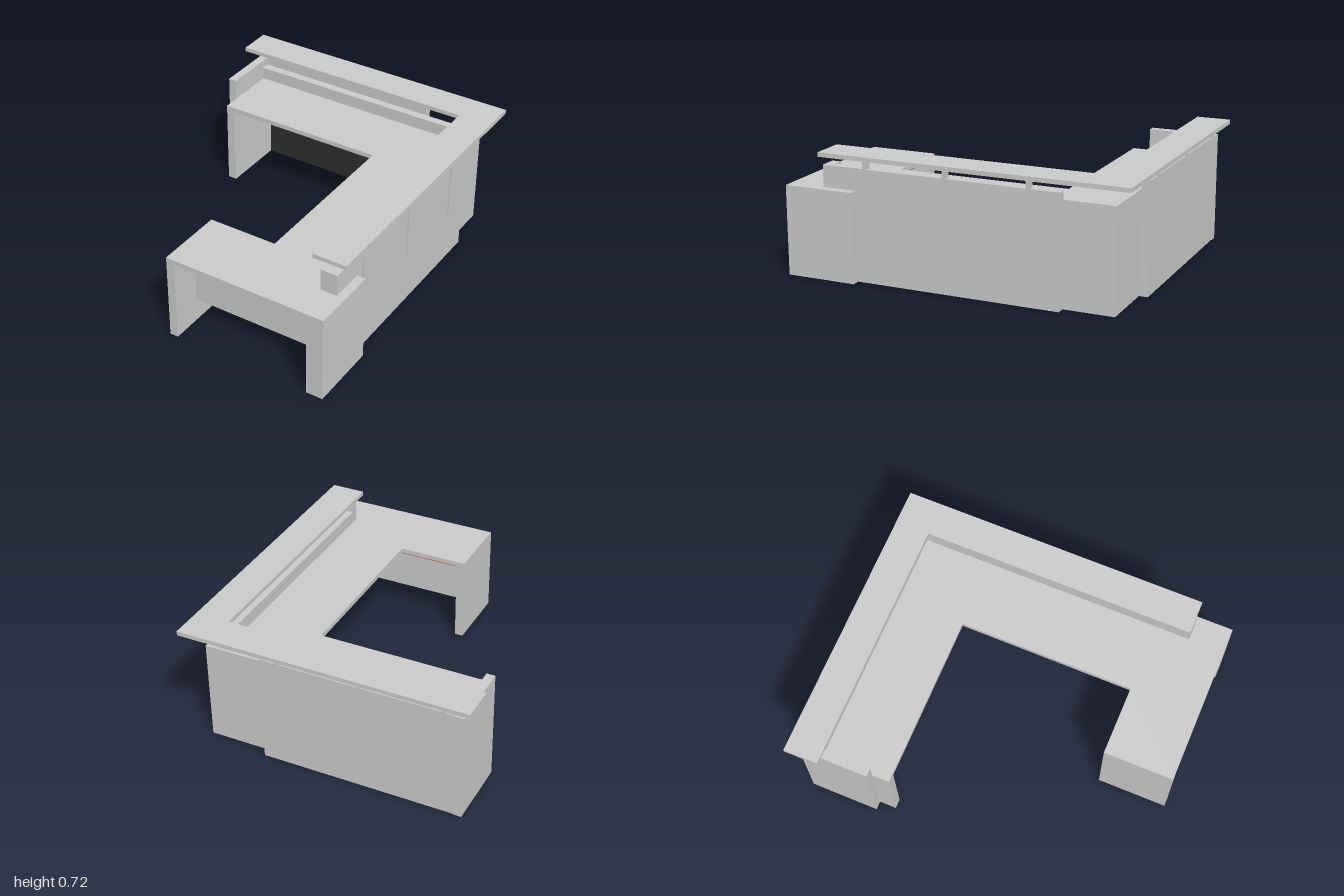
import * as THREE from 'three';

const grey = new THREE.MeshStandardMaterial({ color: 0xcccccc });
const dark = new THREE.MeshStandardMaterial({ color: 0x2e2e2e });
const cream = new THREE.MeshStandardMaterial({ color: 0xd8d8a4 });
const brown = new THREE.MeshStandardMaterial({ color: 0x8a4a20 });

export function createModel() {
  const model = new THREE.Group();
  model.name = 'receptionDesk';

  // Box given by its minimum and maximum on each axis
  const box = (name, [x0, x1], [y0, y1], [z0, z1], material = grey) => {
    const mesh = new THREE.Mesh(new THREE.BoxGeometry(x1 - x0, y1 - y0, z1 - z0), material);
    mesh.position.set((x0 + x1) / 2, (y0 + y1) / 2, (z0 + z1) / 2);
    mesh.name = name;
    model.add(mesh);
  };

  // Flat slab cut from a plan outline of [x, z] points
  const slab = (name, outline, y0, y1, material = grey) => {
    const shape = new THREE.Shape(outline.map(([x, z]) => new THREE.Vector2(x, -z)));
    const geometry = new THREE.ExtrudeGeometry(shape, { depth: y1 - y0, bevelEnabled: false });
    geometry.rotateX(-Math.PI / 2);
    const mesh = new THREE.Mesh(geometry, material);
    mesh.position.y = y0;
    mesh.name = name;
    model.add(mesh);
  };

  // Raised L-shaped counter with a cream underside
  const counter = [[-0.85, -1], [0.84, -1], [0.84, 0.79], [0.64, 0.79], [0.64, -0.8], [-0.85, -0.8]];
  slab('counterTop', counter, 0.697, 0.72);
  slab('counterUnderside', counter, 0.695, 0.697, cream);

  // U-shaped work surface
  slab('workSurface', [
    [-0.745, -0.84], [0.69, -0.84], [0.69, 0.59], [0.84, 0.59], [0.84, 1], [-0.13, 1],
    [-0.13, 0.59], [0.28, 0.59], [0.28, -0.44], [-0.745, -0.44],
  ], 0.487, 0.515);

  // Inner walls meeting at the corner, with dark linings under the work surface
  box('backInnerWall', [-0.745, 0.74], [0, 0.59], [-0.89, -0.84]);
  box('sideInnerWall', [0.69, 0.74], [0, 0.59], [-0.84, 0.74]);
  box('backLining', [-0.69, 0.69], [0, 0.46], [-0.84, -0.835], dark);
  box('sideLining', [0.685, 0.69], [0, 0.46], [-0.835, 0.59], dark);

  // Taller outer panels, stopping short of the corner
  box('backOuterPanel', [-0.745, 0.38], [0, 0.64], [-0.94, -0.89]);
  box('sideOuterPanel', [0.74, 0.79], [0, 0.64], [-0.6, 0.79]);

  // End panels closing the walls
  box('backEndPanel', [-0.795, -0.745], [0, 0.64], [-0.945, -0.54]);
  box('sideEndCap', [0.69, 0.74], [0.515, 0.64], [0.74, 0.79]);

  // Legs of the desk and of the return
  box('deskLeg', [-0.745, -0.69], [0, 0.487], [-0.84, -0.44]);
  box('returnInnerLeg', [-0.13, -0.08], [0, 0.487], [0.59, 1]);
  box('returnOuterLeg', [0.79, 0.84], [0, 0.487], [0.59, 1]);
  box('returnFrontPost', [0.74, 0.79], [0, 0.487], [0.79, 1]);

  // Modesty panel and underside of the return
  box('modestyPanel', [-0.08, 0.74], [0.14, 0.487], [0.77, 0.82]);
  box('returnUnderside', [-0.08, 0.69], [0.484, 0.487], [0.59, 0.77], brown);

  // Counter brackets: a strip down the panel and a block above it
  for (const z of [0.53, 0.055, -0.425]) {
    box('sideBracketStrip', [0.79, 0.8], [0.31, 0.695], [z - 0.009, z + 0.009]);
    box('sideBracketBlock', [0.755, 0.79], [0.64, 0.695], [z - 0.009, z + 0.009]);
  }
  for (const x of [-0.685, -0.207, 0.27]) {
    box('backBracketStrip', [x - 0.009, x + 0.009], [0.31, 0.695], [-0.952, -0.94]);
    box('backBracketBlock', [x - 0.009, x + 0.009], [0.64, 0.695], [-0.94, -0.907]);
  }
  return model;
}
